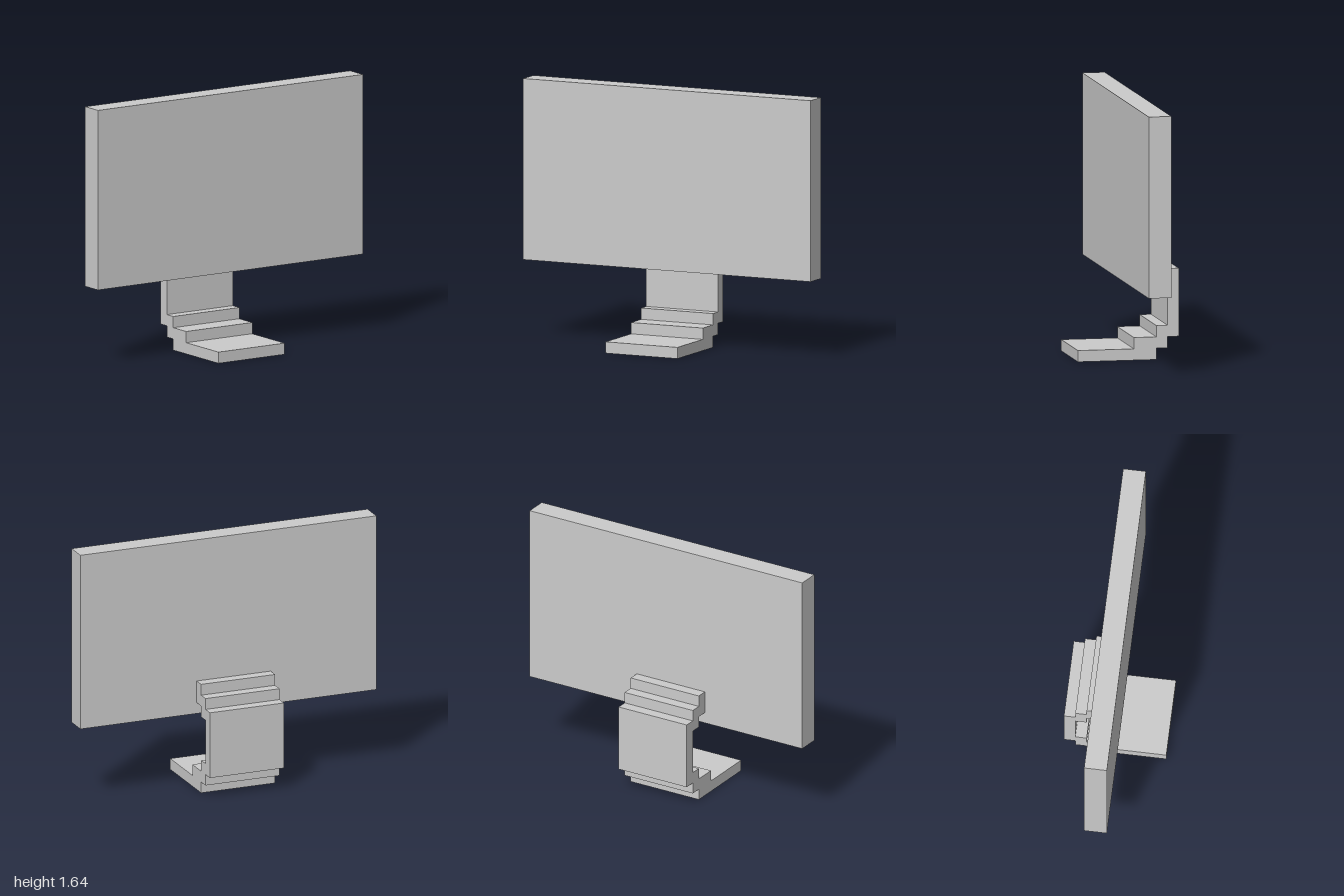
import * as THREE from 'three';

const U = 1 / 14; // one block of the stepped design

export function createModel() {
  const group = new THREE.Group();
  const material = new THREE.MeshStandardMaterial({ color: 0xcccccc, flatShading: true });

  // Flat panel
  const screen = new THREE.Mesh(new THREE.BoxGeometry(28 * U, 16 * U, 2 * U), material);
  screen.name = 'screen';
  screen.position.set(0, 15 * U, -0.5 * U);
  group.add(screen);

  // Stepped stand: side profile as [z, y] in blocks, swept across its width
  const profile = [
    [4.5, 0], [4.5, 1], [-0.5, 1], [-0.5, 2], [-2.5, 2], [-2.5, 3], [-3.5, 3], // foot and front steps
    [-3.5, 7], [-2.5, 7], [-2.5, 8], [-1.5, 8], [-1.5, 10],                    // neck front, screen mount
    [-2.5, 10], [-2.5, 9], [-3.5, 9], [-3.5, 8], [-4.5, 8],                    // upper back steps
    [-4.5, 2], [-3.5, 2], [-3.5, 1], [-2.5, 1], [-2.5, 0],                     // lower back steps
  ];
  const shape = new THREE.Shape(profile.map(([z, y]) => new THREE.Vector2(z * U, y * U)));
  const geometry = new THREE.ExtrudeGeometry(shape, { depth: 7 * U, bevelEnabled: false });
  geometry.rotateY(-Math.PI / 2); // profile runs along z, width along -x
  const stand = new THREE.Mesh(geometry, material);
  stand.name = 'stand';
  stand.position.x = 3 * U; // stand sits half a block off centre
  group.add(stand);

  return group;
}
